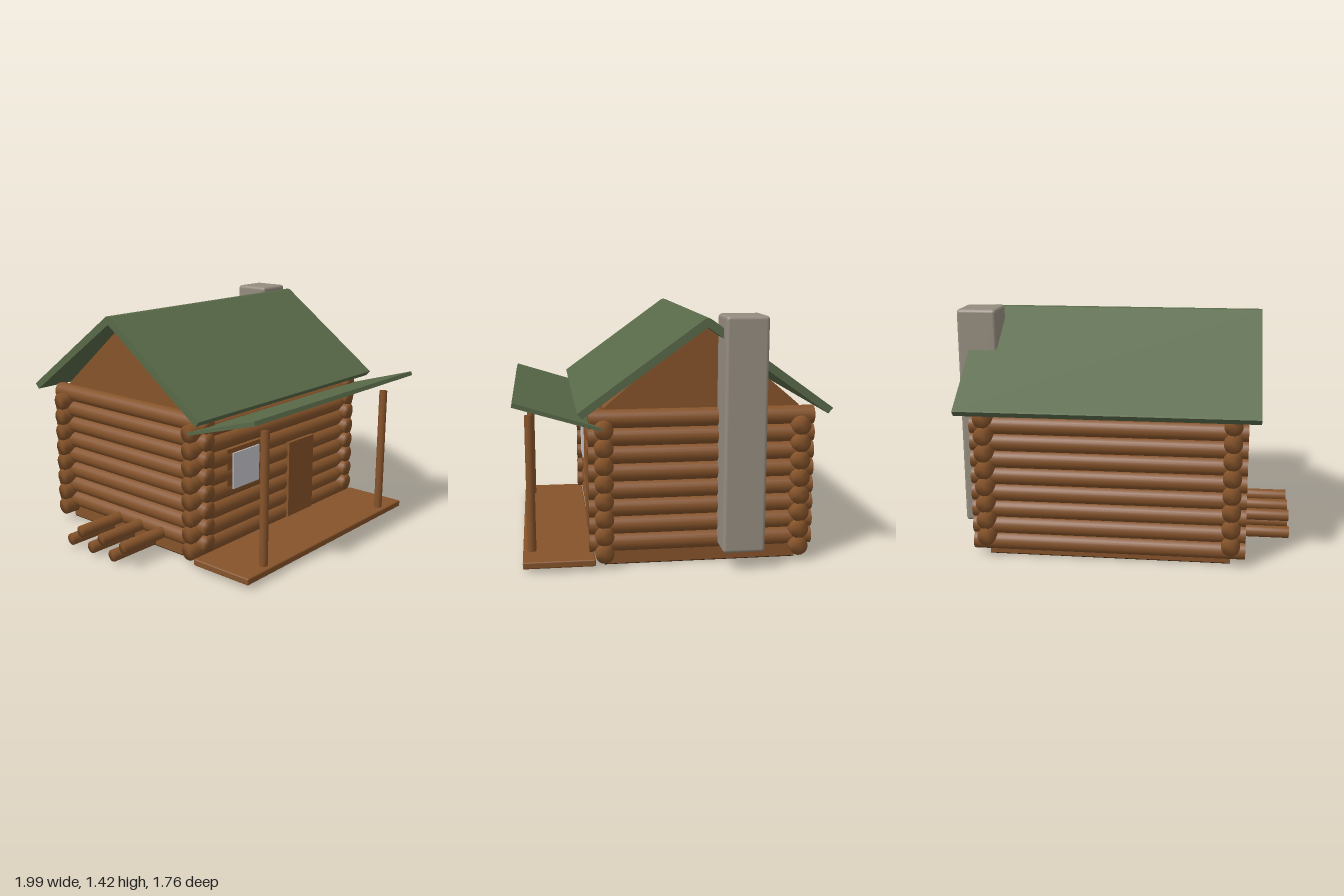
import * as THREE from 'three';
import { mergeVertices } from 'three/addons/utils/BufferGeometryUtils.js';
import { RoundedBoxGeometry } from 'three/addons/geometries/RoundedBoxGeometry.js';

const paint = (name, color) => Object.assign(new THREE.MeshStandardMaterial({ color }), { name });

export function createModel() {
  const house = new THREE.Group();
  house.name = 'logCabin';
  const wood = paint('wood', 0x85532a);
  const green = paint('roofGreen', 0x586948);
  const stone = paint('chimneyStone', 0x958c7f);
  const glass = paint('windowGlass', 0xc8c8d0);
  const dark = paint('darkFloor', 0x2c1b0b);

  const add = (name, geometry, material, parent = house) => {
    const mesh = new THREE.Mesh(geometry, material);
    mesh.name = name;
    parent.add(mesh);
    return mesh;
  };
  const group = (name) => {
    const g = new THREE.Group();
    g.name = name;
    house.add(g);
    return g;
  };

  // Box given by its two extreme corners, with optional softened edges
  const block = (name, [x0, y0, z0], [x1, y1, z1], material, bevel = 0) => {
    const size = [x1 - x0, y1 - y0, z1 - z0];
    const geo = bevel ? new RoundedBoxGeometry(...size, 2, bevel) : new THREE.BoxGeometry(...size);
    return add(name, geo.translate((x0 + x1) / 2, (y0 + y1) / 2, (z0 + z1) / 2), material);
  };

  // Cross-section of [z, y] points, extruded along x
  const prism = (name, points, x0, x1, material) => {
    const shape = new THREE.Shape(points.map(([z, y]) => new THREE.Vector2(z, y)));
    const geo = new THREE.ExtrudeGeometry(shape, { depth: x1 - x0, bevelEnabled: false });
    return add(name, geo.rotateY(-Math.PI / 2).translate(x1, 0, 0), material);
  };

  // Round log with soft shading running over its ends
  const logGeometry = (radius, length, axis) => {
    let geo = new THREE.CylinderGeometry(radius, radius, length, 20);
    geo.deleteAttribute('normal');
    geo.deleteAttribute('uv');
    geo = mergeVertices(geo);
    geo.computeVertexNormals();
    if (axis === 'x') geo.rotateZ(Math.PI / 2);
    if (axis === 'z') geo.rotateX(Math.PI / 2);
    return geo;
  };

  // Solid core of the house with its gables, and the floor underneath
  prism('wallCore', [[0.385, 0.004], [0.385, 0.905], [-0.17, 1.375], [-0.725, 0.905], [-0.725, 0.004]],
    -0.645, 0.775, wood);
  block('floor', [-0.645, 0, -0.725], [0.775, 0.004, 0.385], dark);

  // Log walls, interlocking at the corners by half a log
  const walls = group('logWalls');
  const longLog = logGeometry(0.053, 1.59, 'x');
  const sideLog = logGeometry(0.053, 1.28, 'z');
  for (let i = 0; i < 8; i++) {
    for (const z of [0.388, -0.727]) add('longLog', longLog, wood, walls).position.set(0.065, 0.088 + i * 0.101, z);
    for (const x of [-0.645, 0.775]) add('sideLog', sideLog, wood, walls).position.set(x, 0.135 + i * 0.1015, -0.17);
  }

  // Pitched main roof
  prism('mainRoof', [
    [0.535, 0.905], [0.525, 0.912], [-0.155, 1.403], [-0.172, 1.408], [-0.189, 1.403], [-0.87, 0.912],
    [-0.88, 0.905], [-0.852, 0.874], [-0.172, 1.358], [0.508, 0.874],
  ], -0.795, 0.922, green);

  // Porch roof, rising away from the house
  prism('porchRoof', [[0.397, 0.792], [0.402, 0.813], [0.876, 0.962], [0.884, 0.938]], -0.745, 0.87, green);

  // Porch deck and posts
  block('porchDeck', [-0.745, 0.025, 0.44], [0.87, 0.065, 0.845], wood, 0.008);
  const post = logGeometry(0.025, 0.8, 'y');
  for (const x of [-0.546, 0.671]) add('porchPost', post, wood).position.set(x, 0.455, 0.794);

  // Door and window
  block('door', [0.135, 0.06, 0.4], [0.395, 0.56, 0.453], wood);
  block('windowFrame', [-0.44, 0.4, 0.39], [-0.14, 0.645, 0.434], wood);
  block('windowPane', [-0.41, 0.4, 0.446], [-0.17, 0.622, 0.455], glass);

  // Chimney on the side wall
  block('chimney', [0.755, 0.108, -0.495], [0.99, 1.422, -0.257], stone, 0.02);

  // Firewood: two staggered rows of three
  const pile = group('woodPile');
  const firewood = logGeometry(0.036, 0.32, 'x');
  for (let i = 0; i < 6; i++) {
    add('firewood', firewood, wood, pile).position.set(-0.84, i % 2 ? 0.126 : 0.051, -0.332 + i * 0.092);
  }

  return house;
}
